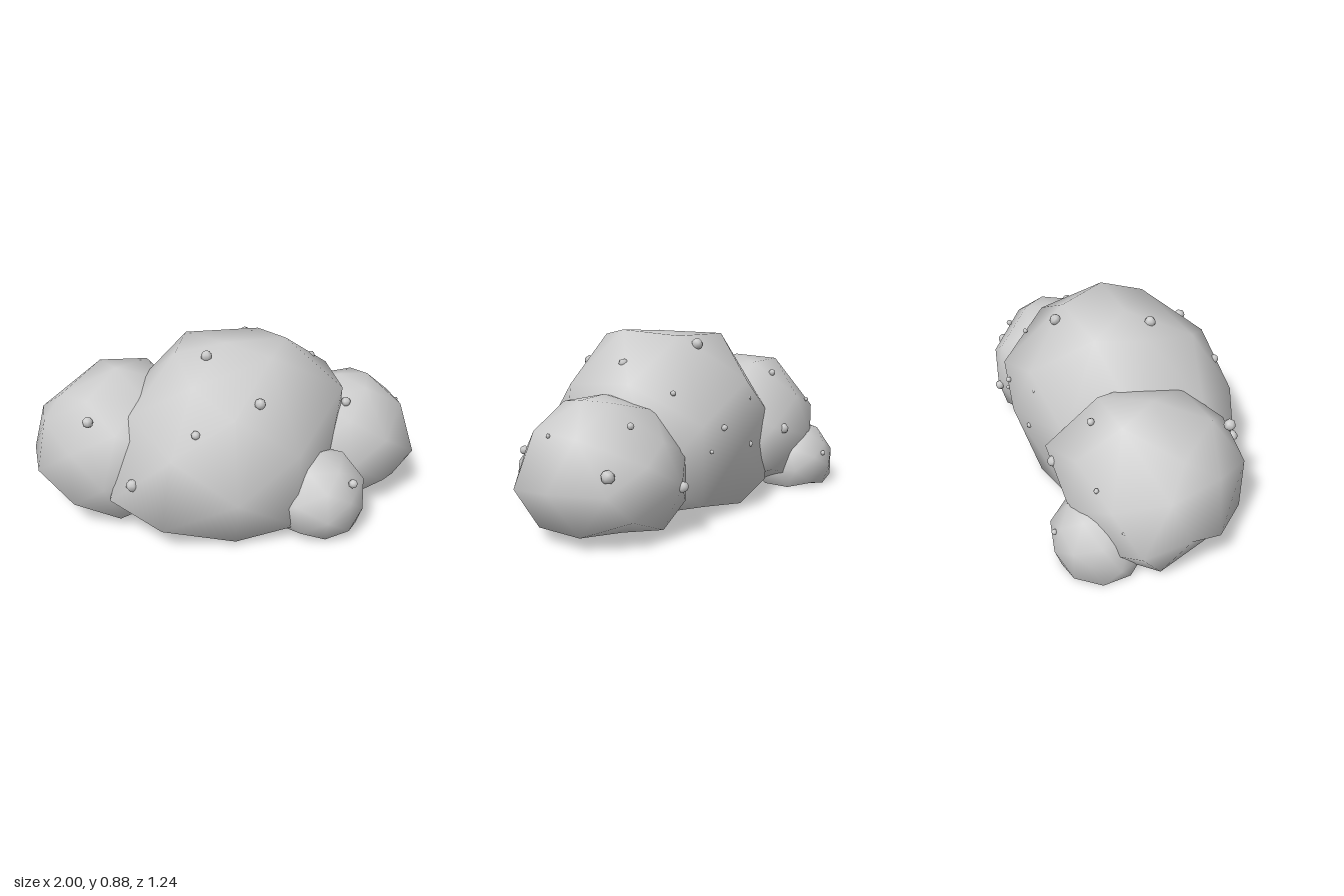
import * as THREE from 'three';
import { mergeVertices } from 'three/addons/utils/BufferGeometryUtils.js';

const material = new THREE.MeshStandardMaterial({ color: 0xcccccc });
const shellMaterial = new THREE.MeshStandardMaterial({ color: 0xcccccc, side: THREE.DoubleSide });

// Boulder: a coarse ball squashed to an ellipsoid, with the corner nearest each
// listed direction pulled to a point, then cut open where it rests on its floor.
function boulder(name, { centre, radii, floor, pulls }) {
  const ball = new THREE.IcosahedronGeometry(1, 1);
  ball.deleteAttribute('normal');
  ball.deleteAttribute('uv');
  const geometry = mergeVertices(ball, 1e-3);
  const position = geometry.attributes.position;
  const corners = Array.from({ length: position.count }, (_, i) =>
    new THREE.Vector3().fromBufferAttribute(position, i));

  corners.forEach((c, i) => position.setXYZ(i,
    centre[0] + c.x * radii[0], Math.max(floor, centre[1] + c.y * radii[1]), centre[2] + c.z * radii[2]));
  for (const [direction, point] of pulls) {
    const d = new THREE.Vector3(...direction);
    const nearest = corners.reduce((best, c, i) => (c.dot(d) > corners[best].dot(d) ? i : best), 0);
    position.setXYZ(nearest, ...point);
  }

  const faces = [];
  const index = geometry.index.array;
  for (let i = 0; i < index.length; i += 3) {
    const face = [index[i], index[i + 1], index[i + 2]];
    if (face.some((v) => position.getY(v) > floor + 1e-4)) faces.push(...face);
  }
  geometry.setIndex(faces);
  geometry.computeVertexNormals();
  const mesh = new THREE.Mesh(geometry, shellMaterial);
  mesh.name = name;
  return mesh;
}

const boulders = {
  mainBoulder: {
    centre: [0, 0.26, 0.05], radii: [0.6, 0.6, 0.57], floor: 0.02,
    pulls: [
      // crown
      [[0.53, 0.85, 0], [0.3, 0.88, 0.06]],
      [[-0.53, 0.85, 0], [-0.25, 0.815, 0.05]],
      [[0.31, 0.81, 0.5], [0.2, 0.845, 0.25]],
      [[0.31, 0.81, -0.5], [0.2, 0.855, -0.2]],
      [[-0.31, 0.81, -0.5], [-0.18, 0.845, -0.2]],
      // shoulders
      [[0, 0.53, 0.85], [0, 0.64, 0.51]],
      [[0, 0.53, -0.85], [0, 0.64, -0.46]],
      [[0.81, 0.5, 0.31], [0.58, 0.64, 0.15]],
      [[0.81, 0.5, -0.31], [0.57, 0.66, -0.18]],
      [[0.5, 0.31, -0.81], [0.4, 0.48, -0.47]],
      // girth
      [[0.85, 0, 0.53], [0.49, 0.27, 0.28]],
      [[0.85, 0, -0.53], [0.56, 0.26, -0.34]],
      [[0, 0, -1], [0.14, 0.35, -0.52]],
      [[-0.5, -0.31, 0.81], [-0.35, 0.1, 0.54]],
      [[-0.85, 0, 0.53], [-0.59, 0.19, 0.38]],
    ],
  },
  leftBoulder: {
    centre: [-0.55, 0.26, -0.08], radii: [0.45, 0.44, 0.45], floor: 0.04,
    pulls: [
      [[-0.53, 0.85, 0], [-0.84, 0.565, -0.08]],
      [[-0.31, 0.81, -0.5], [-0.64, 0.68, -0.28]],
      [[0.31, 0.81, -0.5], [-0.39, 0.68, -0.28]],
      [[-0.81, 0.5, -0.31], [-0.95, 0.46, -0.2]],
      [[-1, 0, 0], [-1, 0.26, -0.12]],
      [[-0.85, 0, 0.53], [-0.97, 0.2, 0.05]],
      [[-0.85, 0, -0.53], [-0.97, 0.22, -0.34]],
      [[-0.5, 0.31, -0.81], [-0.83, 0.4, -0.42]],
      [[0, 0, 1], [-0.62, 0.24, 0.37]],
      [[0, 0, -1], [-0.61, 0.27, -0.52]],
      [[0.5, 0.31, -0.81], [-0.24, 0.37, -0.49]],
      [[0.85, 0, -0.53], [-0.15, 0.26, -0.42]],
      [[-0.81, -0.5, 0.31], [-0.87, 0.09, 0.05]],
    ],
  },
  rightBoulder: {
    centre: [0.62, 0.25, -0.09], radii: [0.38, 0.37, 0.38], floor: 0.05,
    pulls: [
      [[0.53, 0.85, 0], [0.78, 0.615, -0.1]],
      [[0.31, 0.81, 0.5], [0.73, 0.59, 0.05]],
      [[0.31, 0.81, -0.5], [0.72, 0.605, -0.22]],
      [[0, 0.53, 0.85], [0.62, 0.48, 0.22]],
      [[0.81, 0.5, 0.31], [0.93, 0.49, 0.04]],
      [[0.81, 0.5, -0.31], [0.93, 0.48, -0.2]],
      [[0.85, 0, 0.53], [1, 0.24, 0.1]],
      [[0.85, 0, -0.53], [0.9, 0.25, -0.33]],
      [[0.5, 0.31, -0.81], [0.74, 0.36, -0.42]],
      [[0, 0, -1], [0.56, 0.25, -0.47]],
    ],
  },
  frontSmallBoulder: {
    centre: [0.43, 0.13, 0.34], radii: [0.235, 0.25, 0.26], floor: 0.02,
    pulls: [
      [[0.53, 0.85, 0], [0.55, 0.375, 0.34]],
      [[-0.53, 0.85, 0], [0.36, 0.375, 0.34]],
      [[0.81, 0.5, 0.31], [0.65, 0.25, 0.39]],
      [[-0.5, 0.31, 0.81], [0.28, 0.2, 0.55]],
      [[-0.85, 0, 0.53], [0.19, 0.13, 0.47]],
    ],
  },
  backSmallBoulder: {
    centre: [-0.65, 0.1, -0.4], radii: [0.24, 0.24, 0.22], floor: 0,
    pulls: [
      [[-0.85, 0, -0.53], [-0.82, 0.12, -0.52]],
      [[0.5, 0.31, -0.81], [-0.53, 0.17, -0.59]],
    ],
  },
};

// Pebbles dotted over the surface: x, y, z, radius
const pebbles = [
  // main boulder
  [-0.48, 0.29, 0.42, 0.03], [-0.18, 0.565, 0.48, 0.022], [0.12, 0.69, 0.44, 0.027],
  [-0.1, 0.825, 0.14, 0.028], [0.14, 0.815, -0.265, 0.028], [0.46, 0.74, -0.07, 0.022],
  [0.44, 0.45, 0.305, 0.014], [0.12, 0.335, 0.56, 0.014], [0.43, 0.62, -0.33, 0.013],
  [0.26, 0.455, -0.495, 0.015], [0.34, 0.355, -0.48, 0.01], [-0.03, 0.55, -0.45, 0.016],
  [0, 0.33, -0.485, 0.014],
  // left boulder
  [-0.68, 0.55, 0.25, 0.028], [-0.34, 0.35, -0.49, 0.028], [-0.47, 0.62, -0.35, 0.018],
  [-0.72, 0.45, -0.44, 0.012], [-0.88, 0.32, -0.385, 0.01],
  // right boulder
  [0.61, 0.55, 0.125, 0.024], [0.73, 0.52, -0.325, 0.016], [0.88, 0.335, -0.325, 0.03],
  [0.55, 0.24, -0.465, 0.026], [0.935, 0.48, -0.05, 0.01],
  // small boulders
  [0.57, 0.275, 0.485, 0.023], [-0.61, 0.18, -0.6, 0.014],
];

export function createModel() {
  const group = new THREE.Group();
  group.name = 'boulderCluster';
  for (const [name, spec] of Object.entries(boulders)) group.add(boulder(name, spec));

  const pebbleGeometry = new THREE.SphereGeometry(1, 7, 5);
  pebbles.forEach(([x, y, z, r], i) => {
    const pebble = new THREE.Mesh(pebbleGeometry, material);
    pebble.name = `pebble${i + 1}`;
    pebble.position.set(x, y, z);
    pebble.scale.setScalar(r);
    pebble.rotation.set(i, i * 2.4, 0);
    group.add(pebble);
  });
  return group;
}
